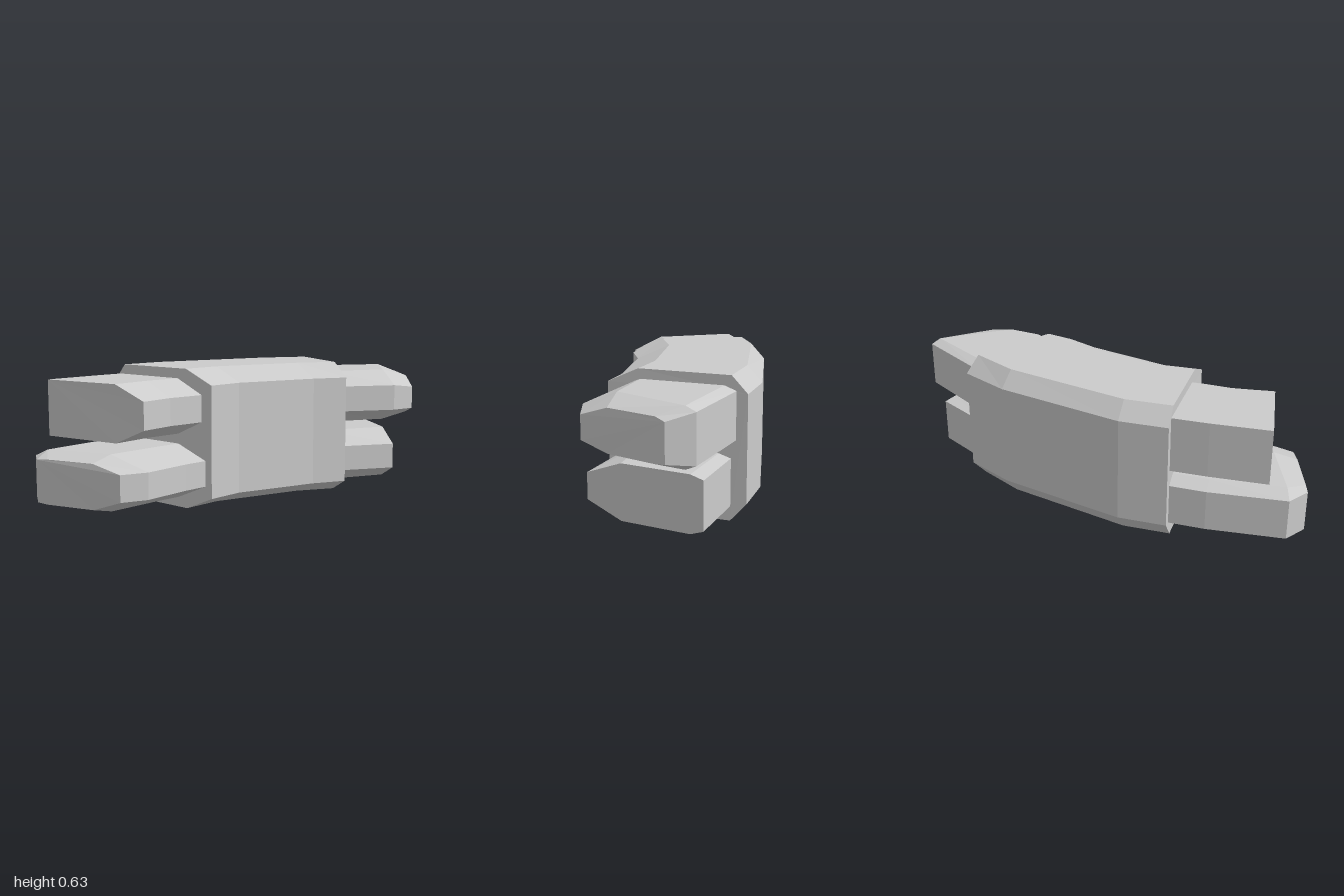
import * as THREE from 'three';

// Lofts a faceted solid through stations ordered from -x to +x.
// Each station lists [x, z] columns from back to front; heights give [low, high] per column.
function loft(name, stations) {
  const rings = stations.map(({ xz, heights }) => [
    ...xz.map(([x, z], i) => [x, heights[i][1], z]),
    ...xz.map(([x, z], i) => [x, heights[i][0], z]).reverse(),
  ]);
  const n = rings[0].length;
  const index = [];
  for (let s = 0; s < rings.length - 1; s++) {
    for (let i = 0; i < n; i++) {
      const a = s * n + i, b = s * n + (i + 1) % n;
      index.push(a, b, b + n, a, b + n, a + n);
    }
  }
  // End caps
  const last = (rings.length - 1) * n;
  for (let i = 1; i < n - 1; i++) {
    index.push(0, i + 1, i);
    index.push(last, last + i, last + i + 1);
  }
  const geometry = new THREE.BufferGeometry();
  geometry.setAttribute('position', new THREE.Float32BufferAttribute(rings.flat(2), 3));
  geometry.setIndex(index);
  const flat = geometry.toNonIndexed();
  flat.computeVertexNormals();
  const mesh = new THREE.Mesh(flat, new THREE.MeshStandardMaterial({ color: 0xcccccc, flatShading: true }));
  mesh.name = name;
  return mesh;
}

const station = (heights, ...xz) => ({ heights, xz });

export function createModel() {
  const group = new THREE.Group();
  group.name = 'curvedBlock';

  // Large curved centre block
  const body = [[0.08, 0.555], [0, 0.63], [0, 0.63], [0.065, 0.565]];
  group.add(loft('centreBlock', [
    station(body, [-0.44, -0.42], [-0.435, -0.355], [-0.395, 0.055], [-0.38, 0.21]),
    station(body, [-0.22, -0.44], [-0.22, -0.375], [-0.2, 0.035], [-0.2, 0.19]),
    station(body, [0.39, -0.34], [0.375, -0.275], [0.24, 0.12], [0.2, 0.27]),
    station(body, [0.63, -0.245], [0.6, -0.18], [0.42, 0.2], [0.36, 0.33]),
  ]));

  // Upper right arm, square at the back and cut off flat
  const upperRight = [[0.335, 0.585], [0.335, 0.585], [0.4, 0.52]];
  group.add(loft('upperRightArm', [
    station(upperRight, [-0.86, -0.335], [-0.77, 0.05], [-0.73, 0.195]),
    station(upperRight, [-0.6, -0.37], [-0.57, 0.01], [-0.56, 0.155]),
    station(upperRight, [-0.41, -0.387], [-0.37, 0], [-0.36, 0.15]),
  ]));

  // Lower right arm with a bevelled end
  const lowerRight = [[0.075, 0.26], [0.045, 0.29], [0.045, 0.29], [0.115, 0.23]];
  const lowerRightTip = [[0.075, 0.26], [0.07, 0.265], [0.07, 0.265], [0.115, 0.23]];
  group.add(loft('lowerRightArm', [
    station(lowerRightTip, [-1, -0.205], [-0.98, -0.155], [-0.895, 0.06], [-0.85, 0.19]),
    station(lowerRight, [-0.945, -0.31], [-0.92, -0.25], [-0.79, 0.04], [-0.73, 0.22]),
    station(lowerRight, [-0.6, -0.372], [-0.595, -0.31], [-0.52, 0.01], [-0.5, 0.18]),
    station(lowerRight, [-0.41, -0.387], [-0.4, -0.325], [-0.37, 0], [-0.35, 0.17]),
  ]));

  // Upper left arm with a bevelled end
  const upperLeft = [[0.355, 0.565], [0.335, 0.585], [0.335, 0.585], [0.4, 0.52]];
  const upperLeftTip = [[0.37, 0.535], [0.365, 0.55], [0.365, 0.55], [0.4, 0.505]];
  group.add(loft('upperLeftArm', [
    station(upperLeft, [0.58, -0.215], [0.56, -0.165], [0.38, 0.175], [0.33, 0.29]),
    station(upperLeft, [0.975, -0.005], [0.95, 0.035], [0.68, 0.29], [0.6, 0.43]),
    station(upperLeftTip, [1, 0.115], [0.97, 0.15], [0.815, 0.33], [0.73, 0.437]),
  ]));

  // Lower left arm, cut off flat
  const lowerLeft = [[0.065, 0.275], [0.045, 0.292], [0.045, 0.292], [0.112, 0.23]];
  group.add(loft('lowerLeftArm', [
    station(lowerLeft, [0.57, -0.195], [0.55, -0.145], [0.38, 0.165], [0.33, 0.285]),
    station(lowerLeft, [0.9, -0.04], [0.87, 0.01], [0.7, 0.28], [0.61, 0.42]),
  ]));

  return group;
}
